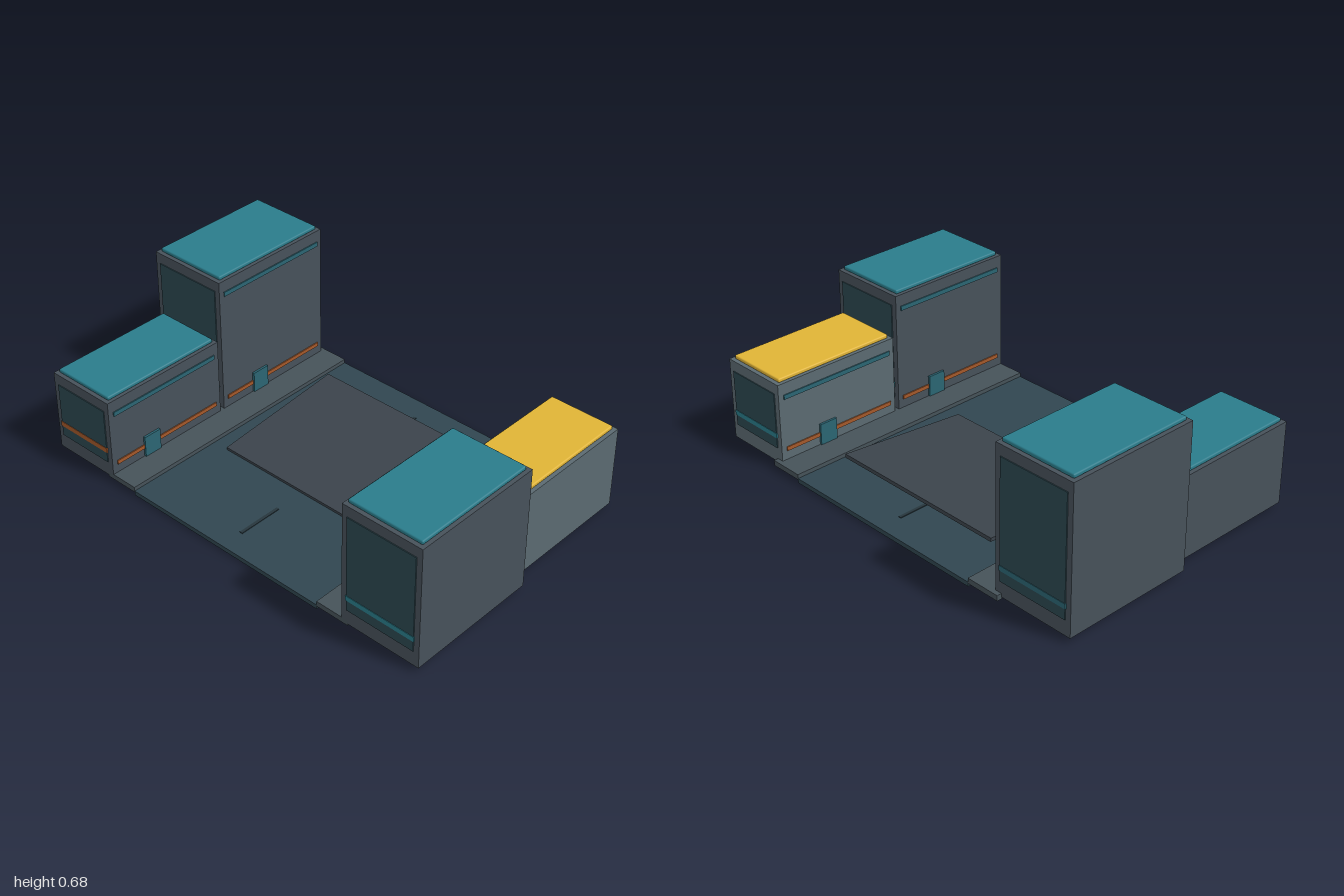
import * as THREE from 'three';
import { RoundedBoxGeometry } from 'three/addons/geometries/RoundedBoxGeometry.js';

const mat = (color) => new THREE.MeshStandardMaterial({ color });
const M = {
  road: mat(0x304650), pavement: mat(0x465259), plate: mat(0x3b434b), mark: mat(0x27363d),
  wall: mat(0x47515a), paleWall: mat(0x5b6a71), panel: mat(0x2c4750),
  teal: mat(0x2a7c8b), gold: mat(0xe0b436), orange: mat(0xa4582a), trim: mat(0x2b6573),
};

// Box given by its limits on each axis; rounded when r is set
function box(parent, name, material, [x0, x1], [y0, y1], [z0, z1], r = 0) {
  const size = [Math.abs(x1 - x0), y1 - y0, z1 - z0];
  const geo = r ? new RoundedBoxGeometry(...size, 2, r) : new THREE.BoxGeometry(...size);
  const mesh = new THREE.Mesh(geo, material);
  mesh.name = name;
  mesh.position.set((x0 + x1) / 2, (y0 + y1) / 2, (z0 + z1) / 2);
  parent.add(mesh);
  return mesh;
}

// Building on one side of the street; its inner face carries the strips and door
function building({ name, side, outer, z, height, wall, roof, stripe, doorZ }) {
  const g = new THREE.Group();
  g.name = name;
  const inner = 0.625, [z0, z1] = z;
  const xs = (a, b) => [side * a, side * b];
  box(g, 'walls', wall, xs(inner, outer), [0.022, height], z);
  box(g, 'roof', roof, xs(inner + 0.013, outer - 0.015), [height, height + 0.018], [z0 + 0.016, z1 - 0.016], 0.006);

  // Glazed panel with a stripe on both end walls
  for (const [face, dir] of [[z0, -1], [z1, 1]]) {
    const layer = (d) => [face, face + dir * d].sort((a, b) => a - b);
    box(g, 'endPanel', M.panel, xs(inner + 0.025, outer - 0.025), [0.09, height - 0.047], layer(0.004));
    box(g, 'endStripe', stripe, xs(inner + 0.022, outer - 0.022), [0.138, 0.16], layer(0.006));
  }

  // Strips and door facing the street
  const along = [z0 + 0.025, z1 - 0.025];
  box(g, 'upperStrip', M.trim, xs(inner - 0.005, inner), [height - 0.072, height - 0.052], along);
  box(g, 'lowerStrip', M.orange, xs(inner - 0.005, inner), [0.078, 0.096], along);
  box(g, 'door', M.trim, xs(inner - 0.01, inner), [0.04, 0.135], [doorZ - 0.042, doorZ + 0.042]);
  return g;
}

export function createModel() {
  const model = new THREE.Group();
  model.name = 'streetBlock';

  // Ground
  const length = [-0.628, 0.622];
  box(model, 'road', M.road, [-0.5, 0.5], [0, 0.02], length);
  for (const s of [-1, 1]) {
    box(model, 'pavement', M.pavement, [s * 0.5, s * 0.655], [0.014, 0.038], length);
  }
  for (const z of [-0.42, 0, 0.415]) {
    box(model, 'laneMark', M.mark, [-0.007, 0.007], [0.02, 0.023], [z - 0.103, z + 0.103]);
  }

  // Plate tilted up towards the back
  const plate = box(model, 'rampPlate', M.plate, [-0.425, 0.425], [0.045, 0.061], [-0.442, 0.178]);
  plate.rotation.x = 0.092;

  // Buildings
  const back = [-0.607, -0.004], front = [0.018, 0.622];
  const specs = [
    { name: 'tallBuilding', side: -1, outer: 1, z: back, height: 0.66, wall: M.wall, roof: M.teal, stripe: M.trim, doorZ: -0.22 },
    { name: 'lowBuilding', side: -1, outer: 0.95, z: front, height: 0.387, wall: M.wall, roof: M.teal, stripe: M.orange, doorZ: 0.41 },
    { name: 'middleBuilding', side: 1, outer: 0.995, z: front, height: 0.57, wall: M.wall, roof: M.teal, stripe: M.teal, doorZ: 0.23 },
    { name: 'goldRoofBuilding', side: 1, outer: 0.945, z: back, height: 0.387, wall: M.paleWall, roof: M.gold, stripe: M.teal, doorZ: -0.37 },
  ];
  for (const spec of specs) model.add(building(spec));
  return model;
}
